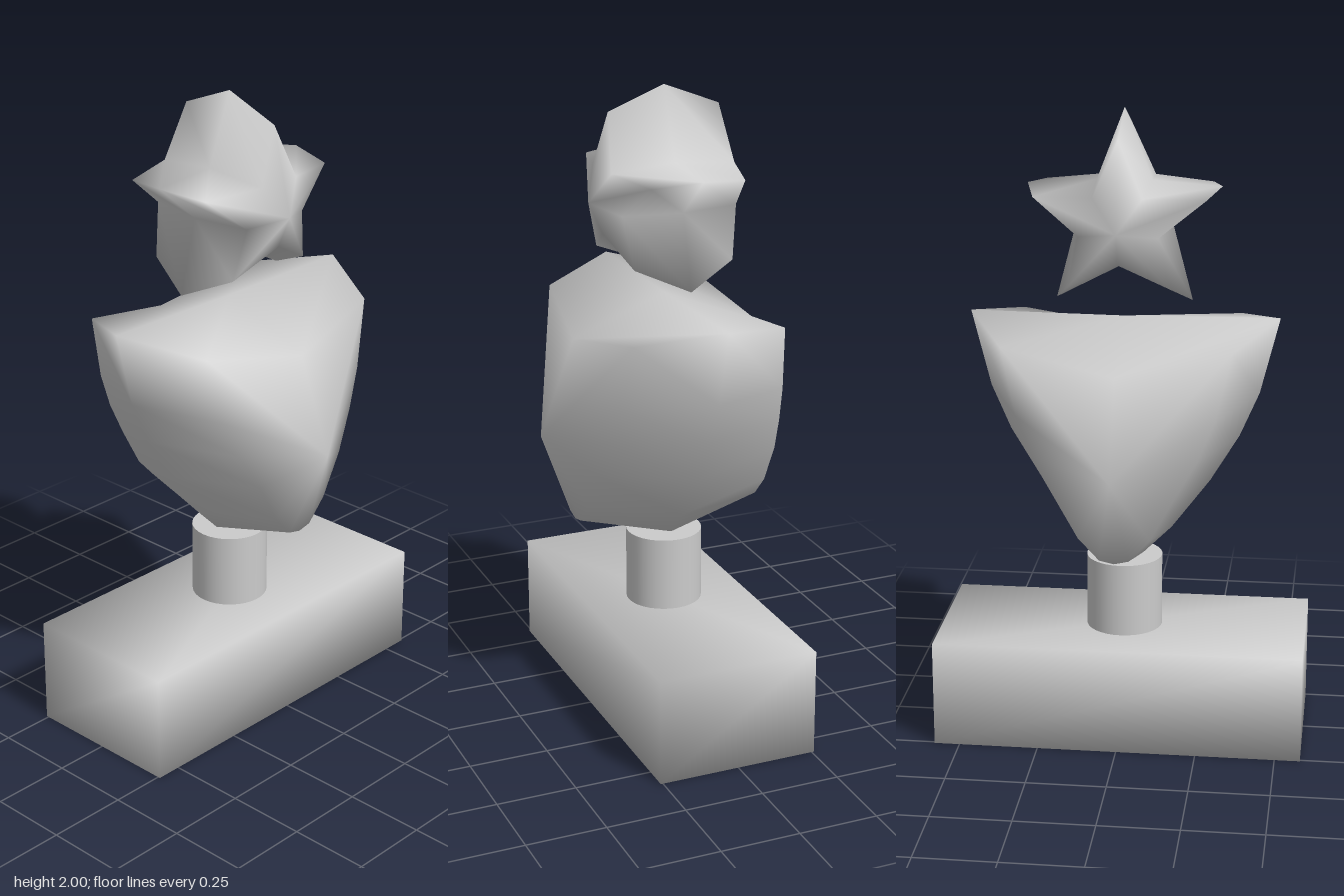
import * as THREE from 'three';
import { mergeVertices } from 'three/addons/utils/BufferGeometryUtils.js';

const material = new THREE.MeshStandardMaterial({ color: 0xcccccc });

function addPart(group, name, geometry, y = 0) {
  const mesh = new THREE.Mesh(geometry, material);
  mesh.name = name;
  mesh.position.y = y;
  group.add(mesh);
}

// Puffed solid: front apex, front ring, full outline, back ring, back apex.
// Each half-profile row, bottom to top, is [x, y, ringX, ringY, ringZ].
function puffed(half, apexY, apexZ) {
  const mirrored = half.slice(1, -1).reverse().map(([x, y, rx, ry, rz]) => [-x, y, -rx, ry, rz]);
  const rows = [...half, ...mirrored];
  const n = rows.length;
  const positions = [];
  for (const p of rows) positions.push(p[2], p[3], p[4]);
  for (const p of rows) positions.push(p[0], p[1], 0);
  for (const p of rows) positions.push(p[2], p[3], -p[4]);
  positions.push(0, apexY, apexZ, 0, apexY, -apexZ);
  const index = [];
  for (let i = 0; i < n; i++) {
    const j = (i + 1) % n;
    index.push(3 * n, i, j, 3 * n + 1, 2 * n + j, 2 * n + i);
    for (const a of [0, n]) {
      index.push(a + i, a + n + i, a + j, a + j, a + n + i, a + n + j);
    }
  }
  const geometry = new THREE.BufferGeometry();
  geometry.setAttribute('position', new THREE.Float32BufferAttribute(positions, 3));
  geometry.setIndex(index);
  geometry.computeVertexNormals();
  return geometry;
}

// Box whose faces share corner normals, for a soft shaded look
function softBox(w, h, d) {
  const box = new THREE.BoxGeometry(w, h, d);
  box.deleteAttribute('normal');
  box.deleteAttribute('uv');
  const geometry = mergeVertices(box);
  geometry.computeVertexNormals();
  return geometry;
}

export function createModel() {
  const group = new THREE.Group();
  group.name = 'starTrophy';

  // Plinth and stem
  addPart(group, 'base', softBox(1.16, 0.34, 0.515), 0.17);
  addPart(group, 'stem', new THREE.CylinderGeometry(0.12, 0.12, 0.24, 32), 0.455);

  // Cup with a flat top that slopes down to front and back
  addPart(group, 'cup', puffed([
    [0, 0.57, 0, 0.65, 0.30],
    [0.06, 0.58, 0.045, 0.66, 0.30],
    [0.15, 0.67, 0.11, 0.73, 0.30],
    [0.27, 0.83, 0.18, 0.86, 0.30],
    [0.36, 0.98, 0.25, 0.98, 0.28],
    [0.42, 1.12, 0.30, 1.10, 0.265],
    [0.48, 1.36, 0.35, 1.31, 0.245],
    [0, 1.355, 0, 1.24, 0.30],
  ], 0.94, 0.41));

  // Thick five-pointed star floating above the cup
  addPart(group, 'star', puffed([
    [0, 1.52, 0, 1.56, 0.20],
    [0.21, 1.41, 0.155, 1.48, 0.16],
    [0.15, 1.64, 0.12, 1.64, 0.185],
    [0.297, 1.765, 0.26, 1.75, 0.15],
    [0.085, 1.78, 0.075, 1.76, 0.20],
    [0, 2, 0, 1.93, 0.18],
  ], 1.66, 0.245));

  return group;
}
